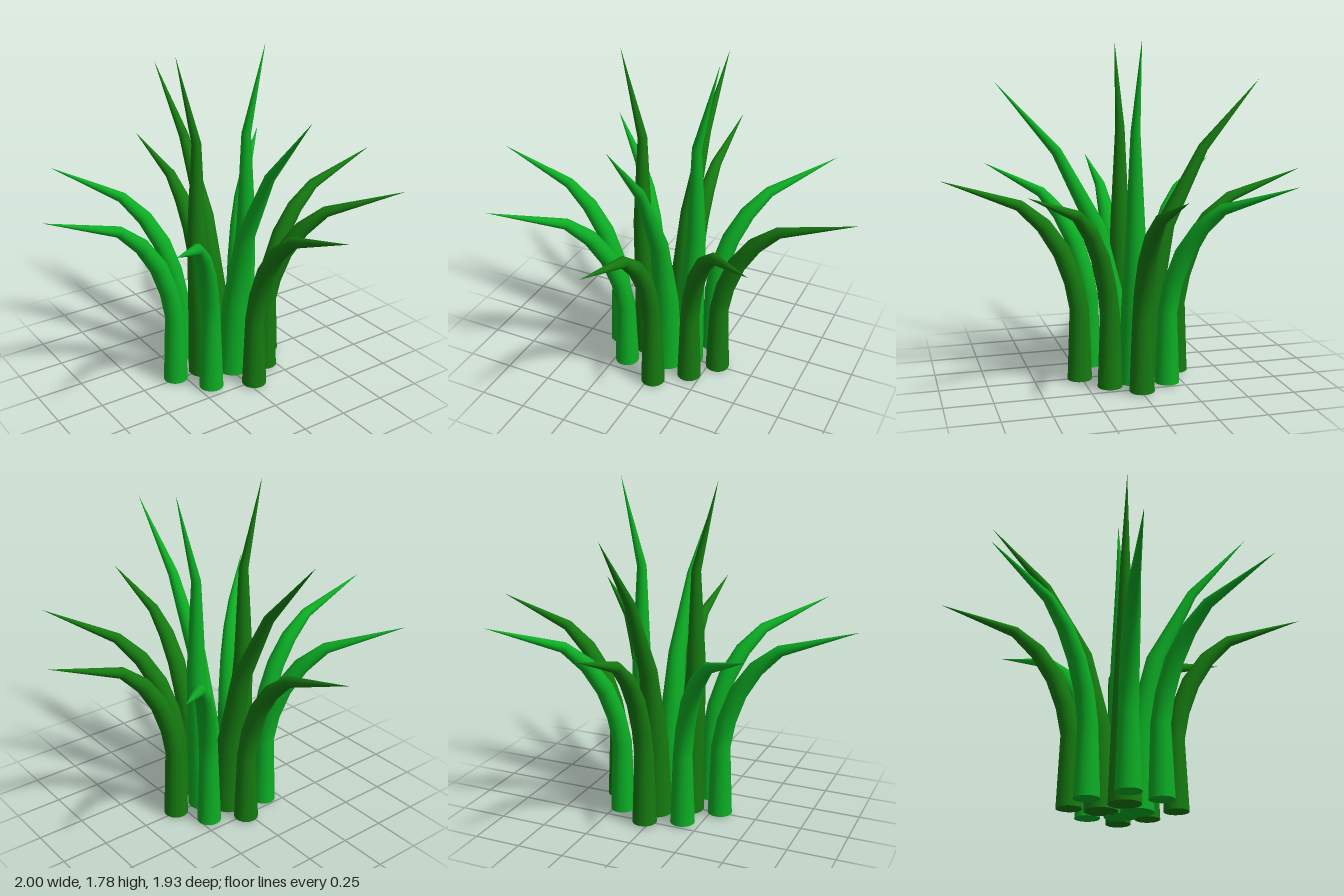
import * as THREE from 'three';

const SIDES = 20;
const light = new THREE.MeshStandardMaterial({ color: 0x0cae24 });
const dark = new THREE.MeshStandardMaterial({ color: 0x157a10 });

// Tapered stalk bending in one vertical plane.
// profile: rows of [outward offset, height, radius]; angle is measured from +x towards +z.
function bladeGeometry(profile, angle) {
  const dir = new THREE.Vector3(Math.cos(angle), 0, Math.sin(angle));
  const up = new THREE.Vector3(0, 1, 0);
  const side = up.clone().cross(dir);
  const centres = profile.map(([o, y]) => dir.clone().multiplyScalar(o).setY(y));
  const pos = [], index = [];
  const addRing = (i) => {
    const a = centres[Math.max(i - 1, 0)], b = centres[i], c = centres[Math.min(i + 1, centres.length - 1)];
    const tangent = new THREE.Vector3();
    if (c !== b) tangent.add(c.clone().sub(b).normalize());
    if (a !== b) tangent.add(b.clone().sub(a).normalize());
    if (i === 0) tangent.copy(up); // the cut base stays level
    const normal = tangent.normalize().cross(side);
    for (let s = 0; s < SIDES; s++) {
      const t = (s / SIDES) * Math.PI * 2;
      const p = b.clone()
        .addScaledVector(side, Math.cos(t) * profile[i][2])
        .addScaledVector(normal, Math.sin(t) * profile[i][2]);
      pos.push(p.x, p.y, p.z);
    }
  };
  profile.forEach((_, i) => addRing(i));
  for (let i = 0; i < profile.length - 1; i++) {
    for (let s = 0; s < SIDES; s++) {
      const a = i * SIDES + s, b = i * SIDES + (s + 1) % SIDES;
      index.push(a, b, b + SIDES);
      if (i < profile.length - 2) index.push(a, b + SIDES, a + SIDES);
    }
  }
  // flat base cap with its own vertices
  const cap = pos.length / 3;
  addRing(0);
  pos.push(centres[0].x, centres[0].y, centres[0].z);
  for (let s = 0; s < SIDES; s++) index.push(cap + SIDES, cap + (s + 1) % SIDES, cap + s);

  const g = new THREE.BufferGeometry();
  g.setAttribute('position', new THREE.Float32BufferAttribute(pos, 3));
  g.setIndex(index);
  g.computeVertexNormals();
  return g;
}

export function createModel() {
  const group = new THREE.Group();
  const addBlade = (name, profile, x, z, degrees, material) => {
    const mesh = new THREE.Mesh(bladeGeometry(profile, THREE.MathUtils.degToRad(degrees)), material);
    mesh.name = name;
    mesh.position.set(x, 0, z);
    group.add(mesh);
  };

  // outer ring: eight short blades arching outwards
  const arch = [
    [0, 0.02, 0.065], [0, 0.4, 0.051], [0.03, 0.55, 0.05], [0.09, 0.71, 0.048],
    [0.182, 0.85, 0.042], [0.305, 0.96, 0.029], [0.7, 1.1, 0],
  ];
  [
    ['outerLeft', 0.3, 0, 0, dark],
    ['outerFrontLeft', 0.19, 0.14, 45, dark],
    ['outerFront', 0.03, 0.265, 90, dark],
    ['outerFrontRight', -0.18, 0.165, 135, light],
    ['outerRight', -0.3, -0.005, 180, light],
    ['outerBackRight', -0.16, -0.19, 225, light],
    ['outerBack', 0.025, -0.265, 270, dark],
    ['outerBackLeft', 0.2, -0.165, 315, light],
  ].forEach(([name, x, z, degrees, material]) => addBlade(name, arch, x, z, degrees, material));

  // inner cluster: two upright blades and two leaning ones
  const upright = [
    [0, 0.01, 0.083], [0.015, 0.42, 0.068], [0.037, 0.83, 0.05], [0.032, 1.33, 0.025], [0.145, 1.79, 0],
  ];
  addBlade('innerLeft', upright, 0.12, -0.005, 0, light);
  addBlade('innerRight', upright, -0.12, -0.005, 180, dark);

  const leaning = [
    [0, 0.01, 0.085], [0.015, 0.42, 0.068], [0.1, 0.83, 0.048], [0.306, 1.23, 0.027], [0.615, 1.585, 0],
  ];
  addBlade('innerFront', leaning, 0.025, 0.07, 90, light);
  addBlade('innerBack', leaning, 0.025, -0.108, 270, dark);

  return group;
}
